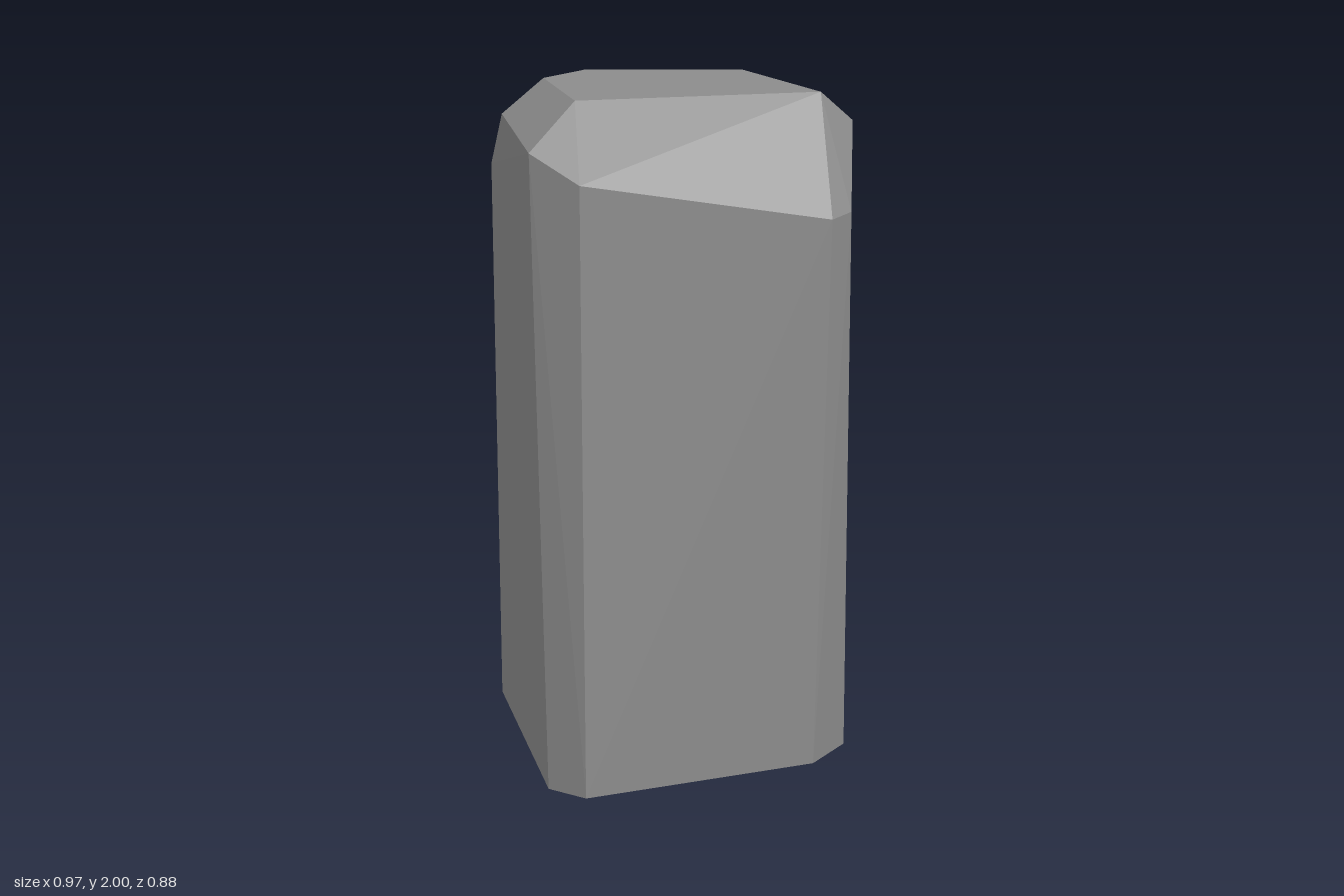
import * as THREE from 'three';
import { ConvexGeometry } from 'three/addons/geometries/ConvexGeometry.js';

// Corner rings of the chipped stone block, each corner as [x, y, z]
const base = [
  [-0.46, 0.01, -0.44], [0.48, 0.01, -0.44], [0.483, 0, 0.195],
  [0.34, 0.015, 0.345], [-0.37, 0.02, 0.437], [-0.46, 0.015, 0.335],
];
const shoulder = [
  [-0.46, 1.72, -0.44], [0.48, 1.77, -0.44], [0.48, 1.91, -0.125],
  [0.478, 1.91, 0.175], [0.425, 1.68, 0.345], [0.355, 1.67, 0.392],
  [-0.37, 1.805, 0.437], [-0.46, 1.86, 0.337], [-0.487, 1.88, 0.33],
  [-0.46, 1.9, -0.24], [0.325, 1.935, -0.37],
];
const crown = [
  [-0.335, 2, 0.215], [0.37, 2, 0.215], [0.275, 2, -0.27],
  [-0.18, 2, -0.385], [-0.335, 2, -0.24],
];

export function createModel() {
  const group = new THREE.Group();
  group.name = 'rockPillar';

  const stone = new THREE.MeshStandardMaterial({ color: 0x8c8c8c });
  stone.name = 'grey stone';

  // The block is convex, so its corners define every facet
  const corners = [...base, ...shoulder, ...crown].map((p) => new THREE.Vector3(...p));
  const block = new THREE.Mesh(new ConvexGeometry(corners), stone);
  block.name = 'stoneBlock';
  group.add(block);
  return group;
}
